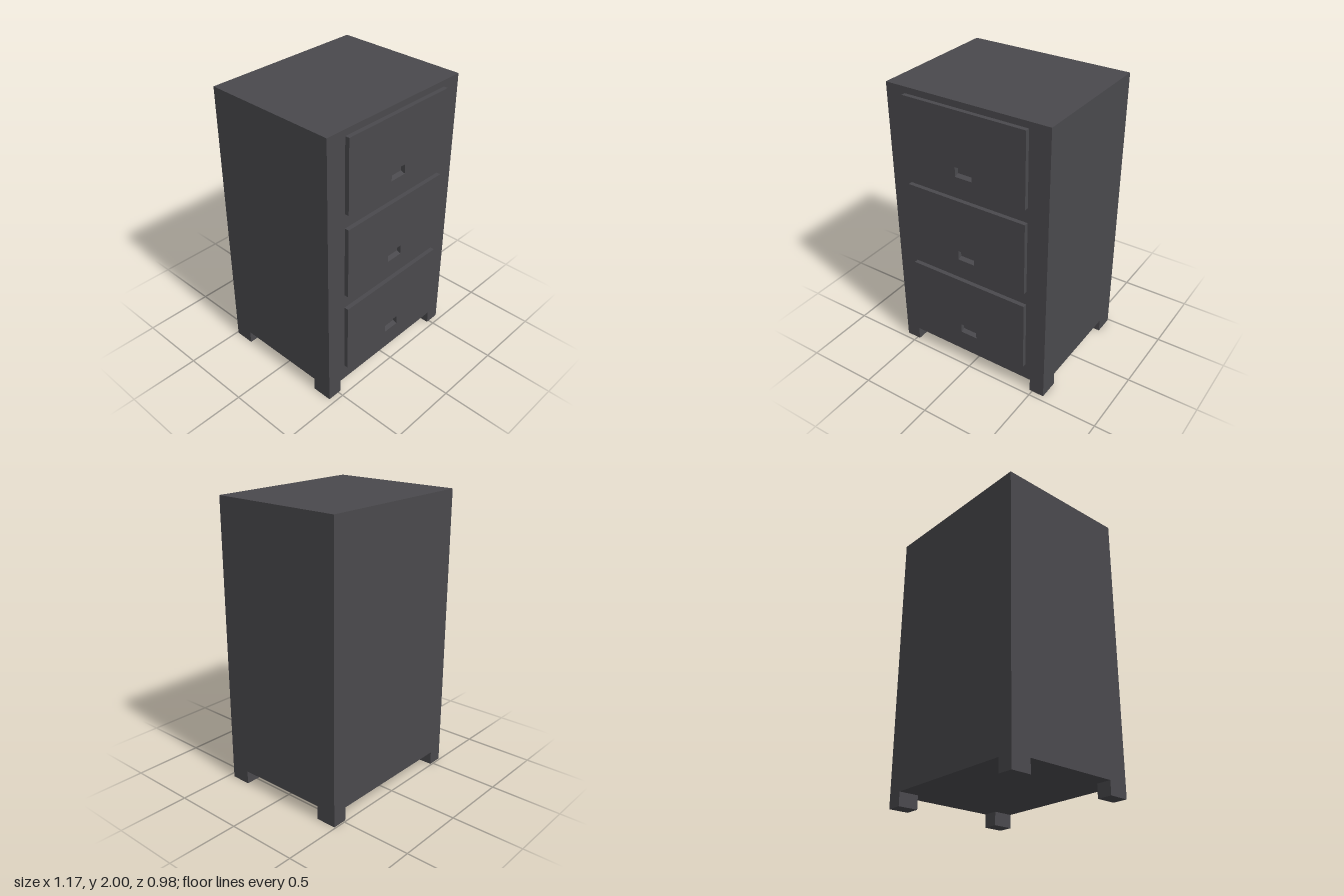
import * as THREE from 'three';

export function createModel() {
  const group = new THREE.Group();
  const charcoal = new THREE.MeshStandardMaterial({ color: 0x4a494d });
  charcoal.name = 'charcoal';

  const add = (name, geometry, x = 0, y = 0, z = 0) => {
    const mesh = new THREE.Mesh(geometry, charcoal);
    mesh.name = name;
    mesh.position.set(x, y, z);
    group.add(mesh);
  };

  const halfW = 0.587, back = -0.49, front = 0.46, legH = 0.095;

  // Cabinet body
  add('cabinetBody', new THREE.BoxGeometry(halfW * 2, 2 - legH, front - back),
    0, (2 + legH) / 2, (front + back) / 2);

  // Four corner legs
  const legW = 0.107, legD = 0.143;
  for (const side of [-1, 1]) {
    for (const z of [front - legD / 2, back + legD / 2]) {
      add('leg', new THREE.BoxGeometry(legW, legH, legD),
        side * (halfW - legW / 2), legH / 2, z);
    }
  }

  const rect = (path, w, y0, y1) => path.moveTo(-w, y0).lineTo(w, y0)
    .lineTo(w, y1).lineTo(-w, y1).closePath();

  // Drawer front with a finger-pull opening
  const depth = 0.03, drawerH = 0.512, pullW = 0.062;
  const panel = rect(new THREE.Shape(), 0.442, 0, drawerH);
  panel.holes.push(rect(new THREE.Path(), pullW, 0.067, 0.134));
  const drawerGeometry = new THREE.ExtrudeGeometry(panel, { depth, bevelEnabled: false });

  // Sloped floor inside the pull, a wedge rising towards the back
  const wedge = new THREE.Shape();
  wedge.moveTo(0, 0.067).lineTo(depth, 0.067).lineTo(0, 0.079).closePath();
  const wedgeGeometry = new THREE.ExtrudeGeometry(wedge, { depth: pullW * 2, bevelEnabled: false });
  wedgeGeometry.rotateY(-Math.PI / 2).translate(pullW, 0, 0);

  // Three drawers
  for (let i = 0; i < 3; i++) {
    const y = 0.215 + i * 0.615;
    add('drawerFront', drawerGeometry, 0, y, front);
    add('drawerPullFloor', wedgeGeometry, 0, y, front);
  }
  return group;
}
